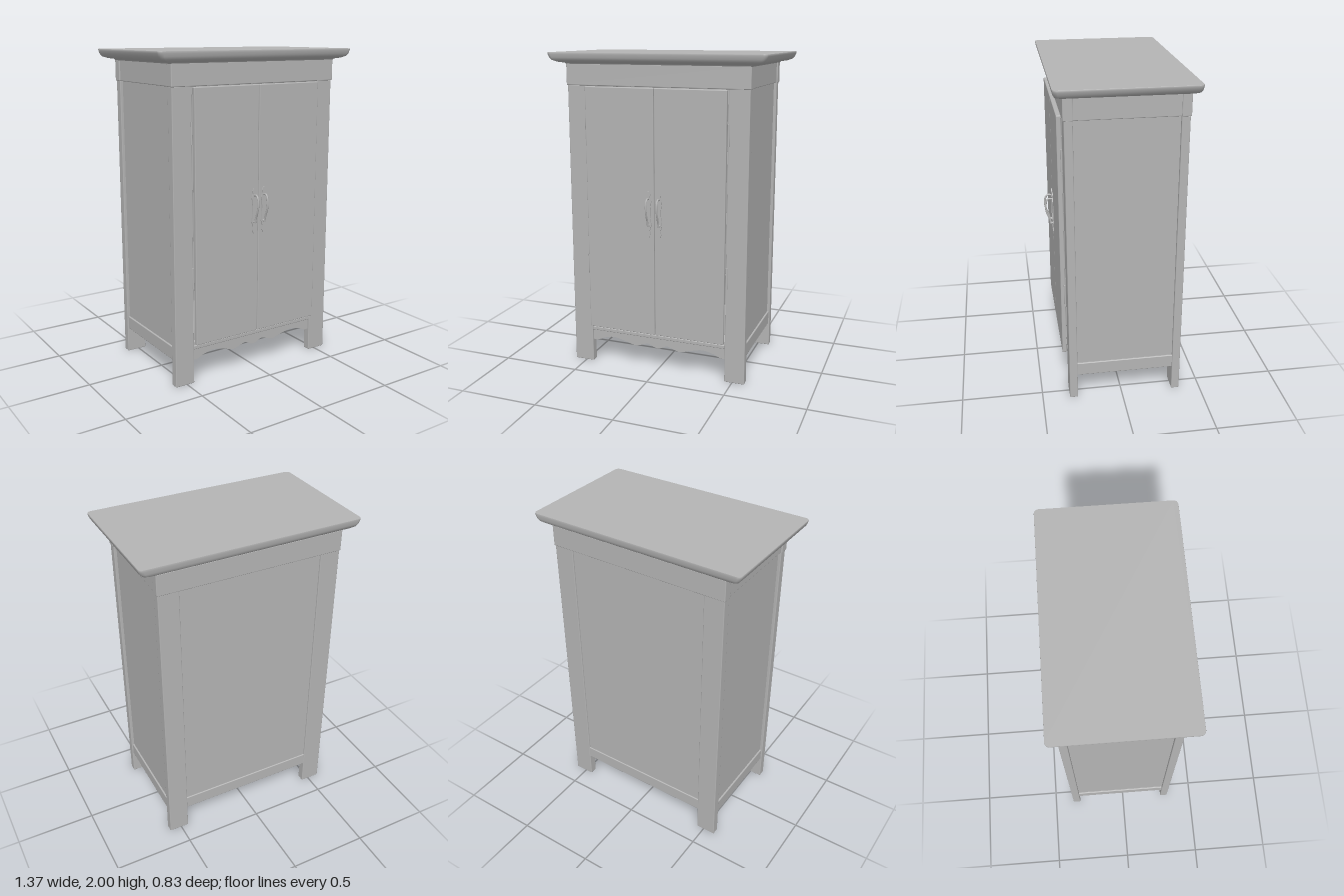
import * as THREE from 'three';
import { RoundedBoxGeometry } from 'three/addons/geometries/RoundedBoxGeometry.js';

const paint = new THREE.MeshStandardMaterial({ color: 0xb4b4b4 });
paint.name = 'plain grey';

function add(parent, name, geometry) {
  const mesh = new THREE.Mesh(geometry, paint);
  mesh.name = name;
  parent.add(mesh);
  return mesh;
}

// Softly edged board given by its limits on each axis
function board(parent, name, [x0, x1], [y0, y1], [z0, z1], radius = 0.005) {
  const g = new RoundedBoxGeometry(x1 - x0, y1 - y0, z1 - z0, 2, radius);
  g.translate((x0 + x1) / 2, (y0 + y1) / 2, (z0 + z1) / 2);
  return add(parent, name, g);
}

// Outline of the cornice at overhang t: 0 is the frieze, 1 the full overhang
function corniceRing(t, y) {
  const x = 0.585 + 0.1 * t, front = 0.335 + 0.06 * t, back = -0.372 - 0.042 * t;
  const r = 0.006 + 0.02 * t, pts = [];
  const corners = [[x - r, front - r], [-x + r, front - r], [-x + r, back + r], [x - r, back + r]];
  corners.forEach(([cx, cz], c) => {
    for (let i = 0; i <= 4; i++) {
      const a = (c + i / 4) * Math.PI / 2;
      pts.push([cx + r * Math.cos(a), y, cz + r * Math.sin(a)]);
    }
  });
  return pts;
}

// Moulded top: stacked rings with flat caps
function corniceGeometry() {
  const profile = [[0, 1.93], [0.08, 1.938], [0.45, 1.943], [0.78, 1.954], [0.92, 1.97], [0.99, 1.988], [1, 1.996], [0.985, 2]];
  const rings = profile.map(([t, y]) => corniceRing(t, y));
  const n = rings[0].length, pos = rings.flat(2), index = [];
  for (let k = 0; k < rings.length - 1; k++) {
    for (let i = 0; i < n; i++) {
      const a = k * n + i, b = k * n + (i + 1) % n;
      index.push(a, a + n, b, b, a + n, b + n);
    }
  }
  const bottom = pos.length / 3;
  pos.push(...rings[0].flat());
  const top = bottom + n;
  pos.push(...rings[rings.length - 1].flat());
  for (let i = 1; i < n - 1; i++) {
    index.push(bottom, bottom + i, bottom + i + 1);
    index.push(top, top + i + 1, top + i);
  }
  const g = new THREE.BufferGeometry();
  g.setAttribute('position', new THREE.Float32BufferAttribute(pos, 3));
  g.setIndex(index);
  g.computeVertexNormals();
  return g;
}

// Front apron with a scalloped lower edge
function apronGeometry() {
  const half = [[0, 0.147], [0.06, 0.17], [0.09, 0.165], [0.15, 0.146], [0.22, 0.164], [0.3, 0.181], [0.37, 0.168], [0.42, 0.147], [0.455, 0.147]];
  const edge = [...half.slice(1).reverse().map(([x, y]) => [-x, y]), ...half];
  const s = new THREE.Shape();
  s.moveTo(-0.455, 0.26);
  s.lineTo(...edge[0]);
  s.splineThru(edge.slice(1).map(p => new THREE.Vector2(...p)));
  s.lineTo(0.455, 0.26);
  s.closePath();
  return new THREE.ExtrudeGeometry(s, { depth: 0.045, bevelEnabled: false, curveSegments: 48 }).translate(0, 0, 0.272);
}

// Ornamental backplate, bowed pull and its mounting posts
function makeHandle() {
  const handle = new THREE.Group();
  const side = [[0.004, 0.895], [0.012, 0.915], [0.008, 0.94], [0.018, 0.97], [0.011, 1.03], [0.011, 1.07], [0.018, 1.12], [0.009, 1.145], [0.012, 1.162], [0.004, 1.18]];
  const outline = [...side, ...side.slice().reverse().map(([x, y]) => [-x, y])];
  const plate = new THREE.Shape(outline.map(p => new THREE.Vector2(...p)));
  add(handle, 'handlePlate', new THREE.ExtrudeGeometry(plate, { depth: 0.006, bevelEnabled: false }).translate(0, 0, 0.36));
  const path = new THREE.CatmullRomCurve3(
    [[1.135, 0.364], [1.137, 0.388], [1.12, 0.402], [1.08, 0.407], [1.04, 0.4], [1.0, 0.384], [0.965, 0.376]]
      .map(([y, z]) => new THREE.Vector3(0, y, z)));
  add(handle, 'handlePull', new THREE.TubeGeometry(path, 28, 0.006, 8));
  const foot = add(handle, 'handleFoot', new THREE.CylinderGeometry(0.007, 0.009, 0.02, 10));
  foot.rotation.x = Math.PI / 2;
  foot.position.set(0, 0.97, 0.37);
  return handle;
}

export function createModel() {
  const cabinet = new THREE.Group();
  cabinet.name = 'cabinet';

  // Top and frieze
  add(cabinet, 'cornice', corniceGeometry());
  board(cabinet, 'frontFrieze', [-0.583, 0.583], [1.803, 1.935], [0.28, 0.336]);
  board(cabinet, 'backFrieze', [-0.583, 0.583], [1.803, 1.935], [-0.375, -0.32]);

  // Legs, sides and doors, mirrored left and right
  for (const s of [-1, 1]) {
    const span = (a, b) => (s > 0 ? [a, b] : [-b, -a]);
    const side = s > 0 ? 'left' : 'right';
    board(cabinet, side + 'FrontLeg', span(0.45, 0.578), [0, 1.806], [0.28, 0.33]);
    board(cabinet, side + 'BackLeg', span(0.45, 0.578), [0, 1.806], [-0.37, -0.32]);
    board(cabinet, side + 'Frieze', span(0.535, 0.575), [1.803, 1.935], [-0.325, 0.285]);
    board(cabinet, side + 'Panel', span(0.54, 0.56), [0.24, 1.81], [-0.325, 0.285]);
    board(cabinet, side + 'Rail', span(0.53, 0.57), [0.16, 0.245], [-0.325, 0.285]);

    const door = new THREE.Group();
    door.name = side + 'Door';
    cabinet.add(door);
    board(door, side + 'DoorPanel', span(0.0015, 0.449), [0.255, 1.8], [0.332, 0.36]);
    const handle = makeHandle();
    handle.name = side + 'Handle';
    handle.position.x = s * 0.035;
    door.add(handle);
    for (const y of [0.675, 1.54]) {
      const hinge = add(door, 'hinge', new THREE.CylinderGeometry(0.007, 0.007, 0.13, 10));
      hinge.position.set(s * 0.456, y, 0.335);
    }
  }

  // Back, floor and front apron
  board(cabinet, 'backPanel', [-0.455, 0.455], [0.24, 1.81], [-0.36, -0.34]);
  board(cabinet, 'backRail', [-0.455, 0.455], [0.16, 0.245], [-0.367, -0.33]);
  board(cabinet, 'floor', [-0.545, 0.545], [0.215, 0.24], [-0.35, 0.325]);
  add(cabinet, 'apron', apronGeometry());

  return cabinet;
}
